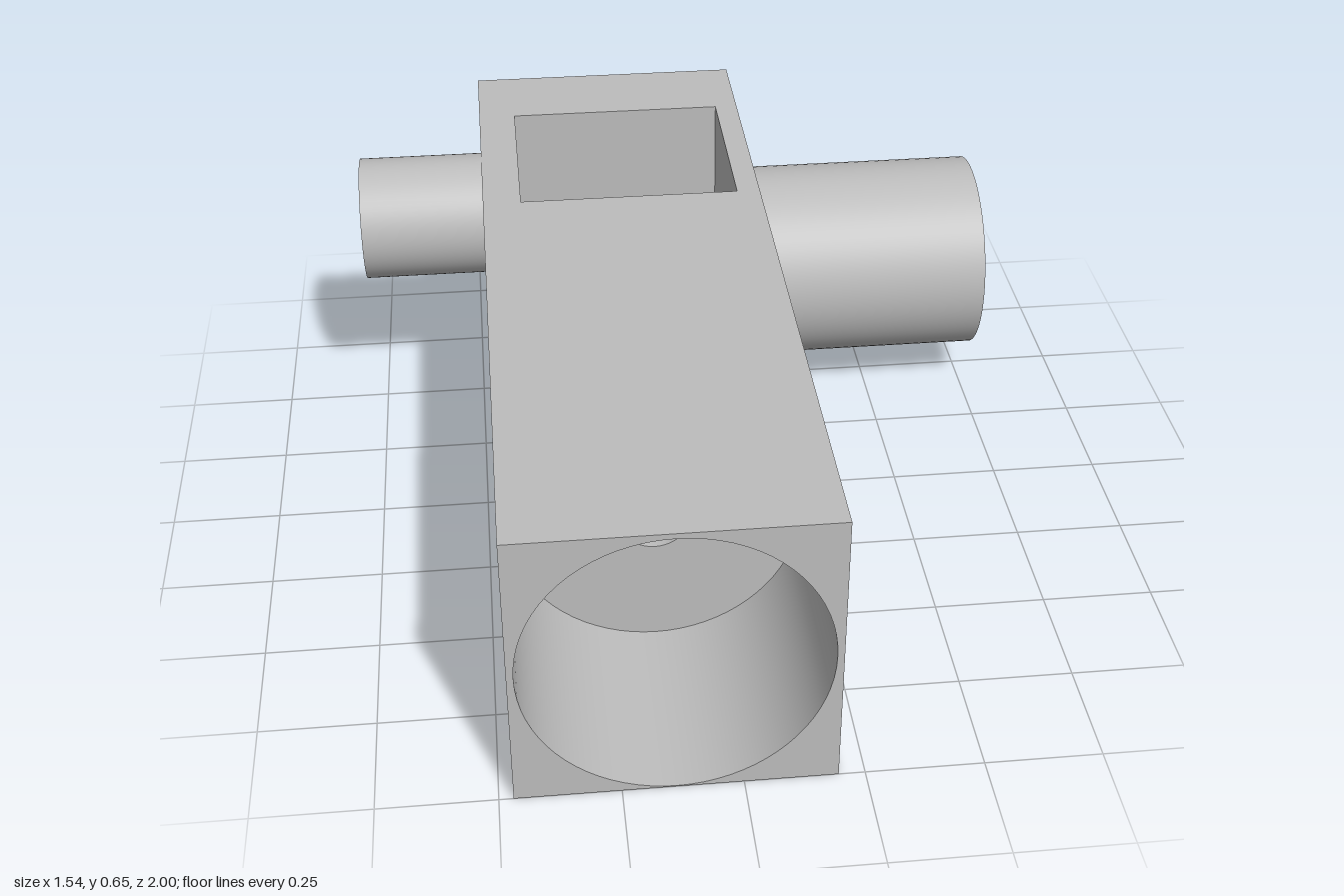
import * as THREE from 'three';

// Box limits and shared axis of the bores
const X0 = -0.47, X1 = 0.195, H = 0.65;
const CX = -0.1375, CY = 0.32, CZ = -0.547;
const U = -CZ; // across coordinate on x-facing planes is -z

export function createModel() {
  const model = new THREE.Group();
  const grey = new THREE.MeshStandardMaterial({ color: 0xbdbdbd, side: THREE.DoubleSide });
  grey.name = 'machined grey';

  // Turns local +z towards the named axis
  function add(name, geometry, axis) {
    if (axis === 'x') geometry.rotateY(Math.PI / 2);
    if (axis === 'y') geometry.rotateX(-Math.PI / 2);
    const mesh = new THREE.Mesh(geometry, grey);
    mesh.name = name;
    model.add(mesh);
  }

  function tube(name, axis, u, v, r, from, to, half = Math.PI) {
    const g = new THREE.CylinderGeometry(r, r, to - from, 72, 1, true, -half, 2 * half);
    add(name, g.rotateX(Math.PI / 2).translate(u, v, (from + to) / 2), axis);
  }

  function ring(name, axis, u, v, inner, outer, w) {
    add(name, new THREE.RingGeometry(inner, outer, 72).translate(u, v, w), axis);
  }

  function rect(u0, v0, u1, v1) {
    return new THREE.Shape([[u0, v0], [u1, v0], [u1, v1], [u0, v1]].map(p => new THREE.Vector2(...p)));
  }

  function circle(u, v, r) {
    return new THREE.Path().absarc(u, v, r, 0, Math.PI * 2, true);
  }

  function face(name, axis, shape, w, holes = []) {
    shape.holes.push(...holes);
    add(name, new THREE.ShapeGeometry(shape, 36).translate(0, 0, w), axis);
  }

  // Pocket limits, square opening and rounded floor
  const px0 = -0.38, px1 = 0.14, half = 0.231, drop = 0.045;
  const floorR = Math.hypot(half, drop), tilt = Math.asin(drop / floorR);
  const square = () => rect(0.49, 0.278, 0.576, 0.363);

  // Outer faces of the block
  face('frontFace', 'z', rect(X0, 0, X1, H), 1, [circle(CX, CY, 0.318)]);
  face('backFace', 'z', rect(X0, 0, X1, H), -1);
  face('bottomFace', 'y', rect(X0, -1, X1, 1), 0);
  face('topFace', 'y', rect(X0, -1, X1, 1), H, [rect(px0, U - half, px1, U + half)]);
  face('leftFace', 'x', rect(-1, 0, 1, H), X1, [circle(U, CY, 0.055)]);
  face('rightFace', 'x', rect(-1, 0, 1, H), X0, [square(), circle(U, 0.5, 0.055)]);

  // Stepped bore from the front into the pocket
  tube('frontBore', 'z', CX, CY, 0.318, 0.52, 1);
  ring('frontBoreStep', 'z', CX, CY, 0.077, 0.318, 0.52);
  tube('middleBore', 'z', CX, CY, 0.077, 0.1, 0.52);
  ring('middleBoreStep', 'z', CX, CY, 0.055, 0.077, 0.1);
  tube('narrowBore', 'z', CX, CY, 0.055, CZ + half, 0.1);

  // Open pocket with a half-round floor
  const low = CY - drop;
  face('pocketFrontWall', 'z', rect(px0, low, px1, H), CZ + half, [rect(-0.19, 0.278, -0.105, 0.363)]);
  face('pocketBackWall', 'z', rect(px0, low, px1, H), CZ - half);
  tube('pocketFloor', 'x', U, CY, floorR, px0, px1, Math.PI / 2 - tilt);
  function pocketEnd() {
    const s = new THREE.Shape();
    s.moveTo(U + half, H);
    s.lineTo(U - half, H);
    s.lineTo(U - half, low);
    s.absarc(U, CY, floorR, Math.PI + tilt, 2 * Math.PI - tilt, false);
    s.closePath();
    return s;
  }
  face('pocketLeftWall', 'x', pocketEnd(), px1, [circle(U, CY, 0.055)]);
  face('pocketRightWall', 'x', pocketEnd(), px0, [square(), circle(U, 0.5, 0.055)]);

  // Square passage through the right wall
  const duct = new THREE.CylinderGeometry(Math.SQRT1_2, Math.SQRT1_2, 1, 4, 1, true, Math.PI / 4).toNonIndexed();
  duct.rotateX(Math.PI / 2).scale(0.086, 0.085, px0 - X0).translate(0.533, 0.3205, (px0 + X0) / 2);
  duct.computeVertexNormals();
  add('squarePassage', duct, 'x');

  // Large boss on the left
  tube('largeBoss', 'x', U, CY, 0.241, X1, 0.77);
  tube('largeBossBore', 'x', U, CY, 0.155, X1, 0.77);
  ring('largeBossEnd', 'x', U, CY, 0.155, 0.241, 0.77);
  tube('largeBossPassage', 'x', U, CY, 0.055, px1, X1);

  // Small raised boss on the right
  tube('smallBoss', 'x', U, 0.5, 0.149, -0.77, X0);
  tube('smallBossBore', 'x', U, 0.5, 0.055, -0.77, px0);
  ring('smallBossEnd', 'x', U, 0.5, 0.055, 0.149, -0.77);

  return model;
}
